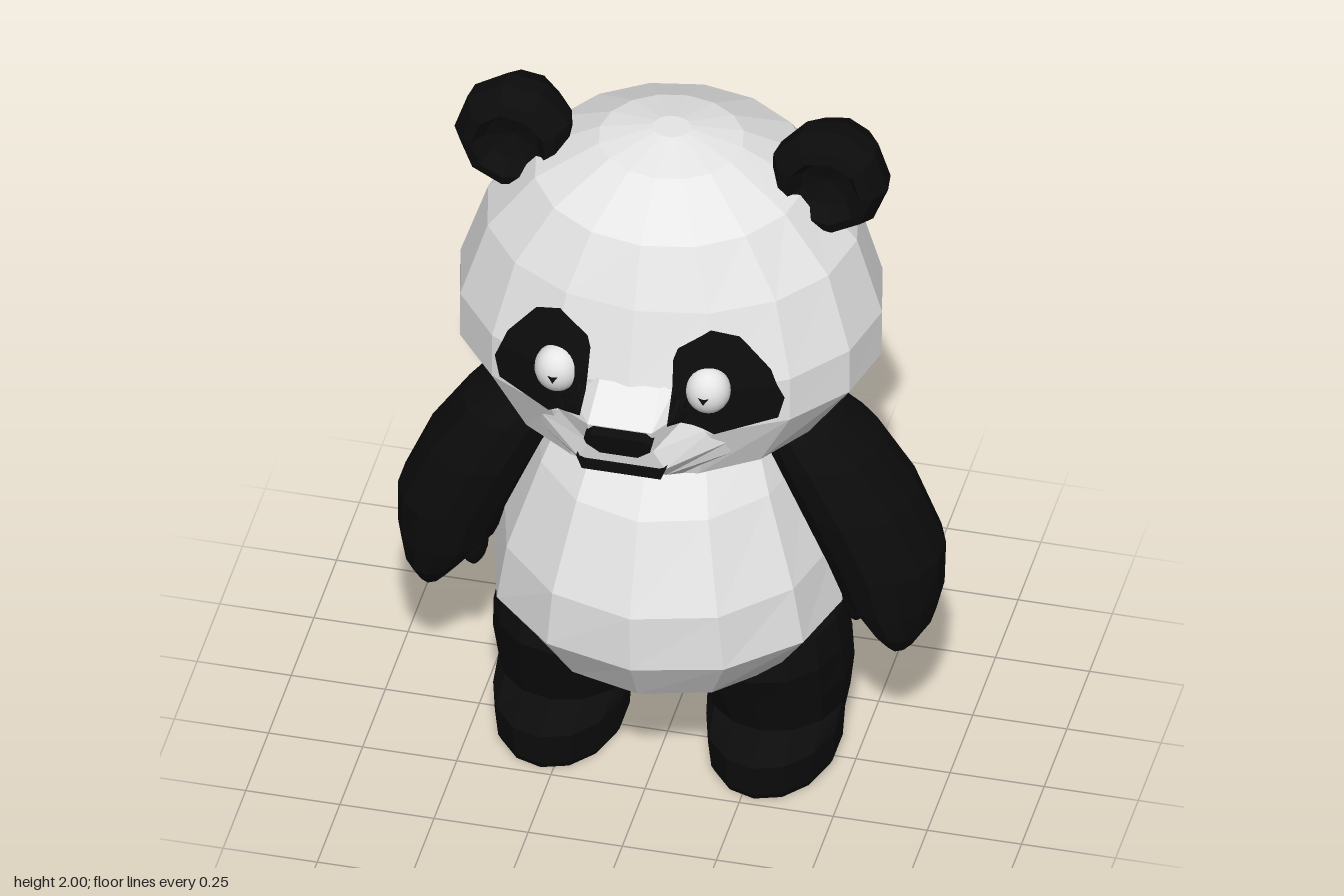
import * as THREE from 'three';

const white = new THREE.MeshStandardMaterial({ color: 0xe6e6e6 });
white.name = 'white fur';
const black = new THREE.MeshStandardMaterial({ color: 0x0c0c0c, side: THREE.DoubleSide });
black.name = 'black fur';

// Joins equal-length loops of points with flat-faced quads
function skin(loops, closed = true) {
  const pos = [];
  for (let r = 0; r < loops.length - 1; r++) {
    const a = loops[r], b = loops[r + 1], n = a.length;
    for (let i = 0; i < (closed ? n : n - 1); i++) {
      const j = (i + 1) % n;
      pos.push(...a[i], ...a[j], ...b[j], ...a[i], ...b[j], ...b[i]);
    }
  }
  const g = new THREE.BufferGeometry();
  g.setAttribute('position', new THREE.Float32BufferAttribute(pos, 3));
  g.computeVertexNormals();
  return g;
}

// Closed loft of ellipses, bottom to top: [y, centre x, half width, front z, back z, forward tilt]
function loft(rings, sides, mirror = 1) {
  const loops = rings.map(([y, cx, rx, zf, zb, tilt = 0]) =>
    Array.from({ length: sides }, (_, i) => {
      const a = (i / sides) * Math.PI * 2;
      return [mirror * cx + rx * Math.sin(a), y - tilt * Math.cos(a), (zf + zb) / 2 + ((zf - zb) / 2) * Math.cos(a)];
    }));
  const cap = ([y, cx, , zf, zb]) => Array(sides).fill([mirror * cx, y, (zf + zb) / 2]);
  return skin([cap(rings[0]), ...loops, cap(rings[rings.length - 1])]);
}

function plate(points, depth) {
  const shape = new THREE.Shape(points.map(([x, y]) => new THREE.Vector2(x, y)));
  return new THREE.ExtrudeGeometry(shape, { depth, bevelEnabled: false });
}

export function createModel() {
  const model = new THREE.Group();
  model.name = 'panda';
  const add = (name, geometry, material, x = 0, y = 0, z = 0) => {
    const m = new THREE.Mesh(geometry, material);
    m.name = name;
    m.position.set(x, y, z);
    model.add(m);
    return m;
  };

  // Head
  const head = add('head', loft([
    [1.07, 0, 0.28, 0.26, -0.36, 0.02],
    [1.16, 0, 0.44, 0.39, -0.44, 0.02],
    [1.31, 0, 0.56, 0.43, -0.495],
    [1.44, 0, 0.56, 0.43, -0.51],
    [1.65, 0, 0.49, 0.37, -0.48],
    [1.81, 0, 0.36, 0.3, -0.4],
    [1.91, 0, 0.19, 0.14, -0.22],
    [1.94, 0, 0.05, 0.0, -0.09],
  ], 16), white);

  // Muzzle: [y, front half width, front z, base half width, base z]
  const muzzle = add('muzzle', skin([
    [1.09, 0.14, 0.29, 0.2, 0.24],
    [1.21, 0.11, 0.47, 0.25, 0.34],
    [1.255, 0.115, 0.505, 0.25, 0.35],
    [1.315, 0.085, 0.515, 0.22, 0.37],
    [1.385, 0.085, 0.53, 0.17, 0.385],
    [1.45, 0.08, 0.42, 0.12, 0.39],
  ].map(([y, w, z, bw, bz]) => [[-bw, y, bz], [-w, y, z], [w, y, z], [bw, y, bz]]), false), white);

  const nose = add('nose', plate([
    [-0.07, 0.035], [-0.09, 0.015], [-0.085, -0.005], [-0.05, -0.035],
    [0.05, -0.035], [0.085, -0.005], [0.09, 0.015], [0.07, 0.035],
  ].reverse(), 0.045), black, 0, 1.352, 0.505);
  nose.rotation.x = 0.25;
  add('mouth', plate([
    [-0.105, -0.02], [0.105, -0.02], [0.12, 0.02], [0.1, 0.01], [-0.1, 0.01], [-0.12, 0.02],
  ], 0.05), black, 0, 1.245, 0.462);

  // Eye patches, laid over the face surface
  const ray = new THREE.Raycaster();
  model.updateMatrixWorld(true);
  const onFace = (x, y) => {
    ray.set(new THREE.Vector3(x, y, 2), new THREE.Vector3(0, 0, -1));
    const hit = ray.intersectObjects([head, muzzle])[0];
    return [x, y, (hit ? hit.point.z : 0.35) + 0.009];
  };
  const outline = [
    [0.11, 1.53], [0.12, 1.56], [0.2, 1.61], [0.27, 1.58], [0.35, 1.48],
    [0.385, 1.39], [0.37, 1.33], [0.22, 1.31], [0.115, 1.38],
  ];
  const dense = outline.flatMap(([x, y], i) => {
    const [u, v] = outline[(i + 1) % outline.length];
    return [0, 0.25, 0.5, 0.75].map((t) => [x + (u - x) * t, y + (v - y) * t]);
  }).reverse();

  for (const s of [1, -1]) {
    const side = s > 0 ? 'left' : 'right';
    const loops = Array.from({ length: 11 }, (_, k) => dense.map(([x, y]) =>
      onFace(s * (0.23 + (x - 0.23) * (1 - k / 10)), 1.45 + (y - 1.45) * (1 - k / 10))));
    if (s > 0) loops.forEach((l) => l.reverse());
    add(side + 'EyePatch', skin(loops), black);

    // Eye and pupil
    add(side + 'Eye', new THREE.SphereGeometry(1, 20, 14), white, s * 0.2, 1.443, 0.385).scale.set(0.06, 0.067, 0.057);
    add(side + 'Pupil', new THREE.ConeGeometry(0.018, 0.012, 3).rotateX(Math.PI / 2), black, s * 0.2, 1.443, 0.444);

    // Ear: rounded behind, hollow in front
    const ear = new THREE.LatheGeometry([
      [0, -0.21], [0.09, -0.195], [0.15, -0.1], [0.158, -0.04], [0.13, 0.015], [0.1, 0.025], [0.07, -0.02], [0, -0.04],
    ].map(([r, z]) => new THREE.Vector2(r, z)), 9).toNonIndexed();
    ear.rotateX(Math.PI / 2);
    ear.computeVertexNormals();
    add(side + 'Ear', ear, black, s * 0.418, 1.846, 0).rotation.z = s * 0.15;

    // Arm and thumb
    add(side + 'Arm', loft([
      [0.425, 0.62, 0.045, 0.07, -0.14],
      [0.48, 0.615, 0.085, 0.11, -0.18],
      [0.56, 0.59, 0.13, 0.13, -0.21],
      [0.68, 0.565, 0.157, 0.14, -0.235],
      [0.85, 0.49, 0.16, 0.14, -0.24],
      [1.0, 0.405, 0.145, 0.125, -0.225],
      [1.07, 0.35, 0.105, 0.1, -0.2],
      [1.11, 0.33, 0.05, 0.05, -0.15],
    ], 14, s), black);
    add(side + 'Thumb', new THREE.SphereGeometry(1, 12, 8), black, s * 0.508, 0.57, 0.02).scale.set(0.038, 0.09, 0.06);

    // Leg with forward foot
    add(side + 'Leg', loft([
      [0, 0.283, 0.16, 0.225, -0.25],
      [0.02, 0.283, 0.17, 0.235, -0.26],
      [0.11, 0.283, 0.175, 0.243, -0.275],
      [0.15, 0.278, 0.183, 0.13, -0.282],
      [0.25, 0.268, 0.205, 0.16, -0.295],
      [0.35, 0.265, 0.203, 0.195, -0.31],
      [0.44, 0.28, 0.17, 0.16, -0.27],
      [0.5, 0.29, 0.12, 0.08, -0.2],
    ], 14, s), black);
  }

  // Body and tail
  add('body', loft([
    [0.25, 0, 0.08, 0.08, -0.12],
    [0.28, 0, 0.2, 0.2, -0.28],
    [0.37, 0, 0.37, 0.33, -0.42],
    [0.51, 0, 0.47, 0.415, -0.465],
    [0.68, 0, 0.44, 0.42, -0.475],
    [0.93, 0, 0.35, 0.33, -0.43],
    [1.05, 0, 0.3, 0.24, -0.39],
    [1.13, 0, 0.26, 0.17, -0.34],
  ], 12), white);
  add('tail', new THREE.SphereGeometry(1, 14, 10), black, 0, 0.51, -0.45).scale.set(0.12, 0.11, 0.105);

  return model;
}
